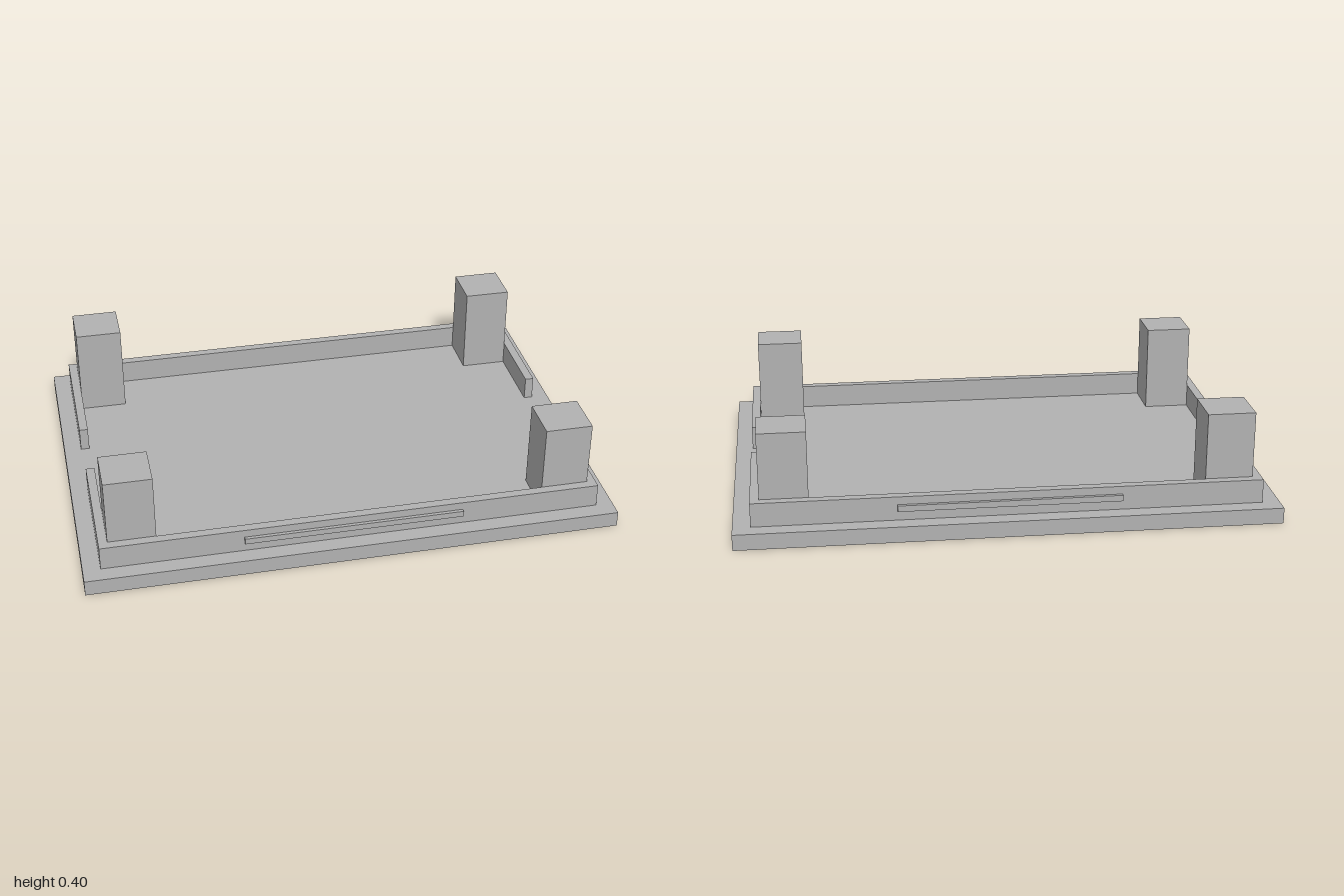
import * as THREE from 'three';

export function createModel() {
  const model = new THREE.Group();
  model.name = 'tray';
  const grey = new THREE.MeshStandardMaterial({ color: 0xb2b2b2 });
  grey.name = 'plain grey';

  // Box given by its lower and upper corners
  function box(name, x0, x1, y0, y1, z0, z1) {
    const mesh = new THREE.Mesh(new THREE.BoxGeometry(x1 - x0, y1 - y0, z1 - z0), grey);
    mesh.position.set((x0 + x1) / 2, (y0 + y1) / 2, (z0 + z1) / 2);
    mesh.name = name;
    model.add(mesh);
  }
  // Same, with z measured outwards from the centre on the chosen end
  const endBox = (name, end, x0, x1, y0, y1, z0, z1) =>
    box(name, x0, x1, y0, y1, Math.min(end * z0, end * z1), Math.max(end * z0, end * z1));

  const floor = 0.06, rim = 0.15;
  box('basePlate', -1, 1, 0, floor, -0.705, 0.705);

  for (const end of [1, -1]) {
    const e = end > 0 ? 'front' : 'back';
    // Long rim wall and the thin strip on its outer face
    endBox(e + 'Wall', end, -0.935, 0.935, floor, rim, 0.608, 0.642);
    endBox(e + 'Strip', end, -0.41, 0.41, 0.097, 0.12, 0.642, 0.655);

    for (const side of [1, -1]) {
      const s = side > 0 ? 'Left' : 'Right';
      const span = (a, b) => (side > 0 ? [a, b] : [-b, -a]);
      // Short side wall, leaving a gap in the middle of the side
      endBox(e + s + 'SideWall', end, ...span(0.902, 0.935), floor, rim, 0.135, 0.608);
      // Corner post inside the rim
      endBox(e + s + 'Post', end, ...span(0.725, 0.902), floor, 0.4, 0.432, 0.608);
    }
  }
  return model;
}
